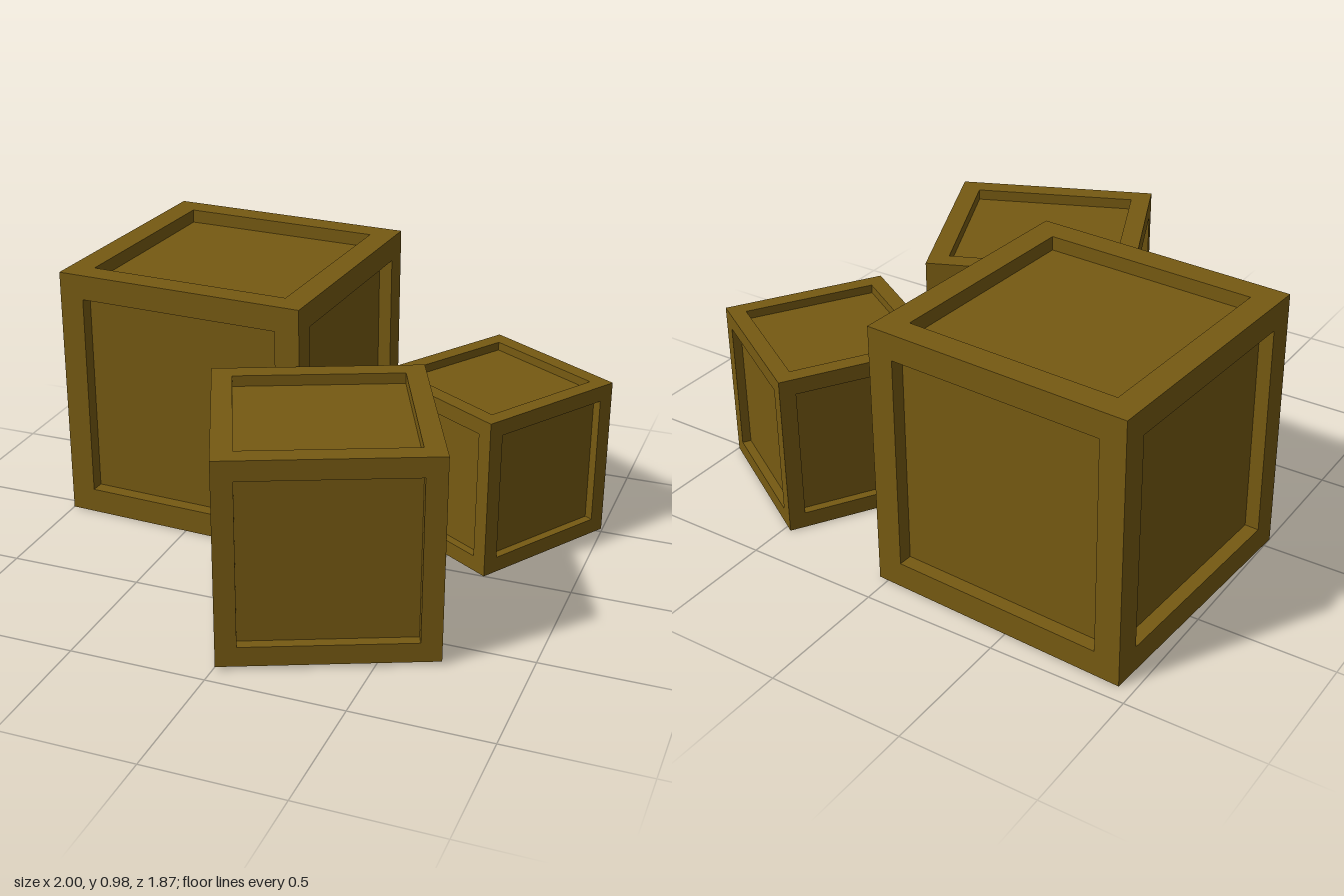
import * as THREE from 'three';

const wood = new THREE.MeshStandardMaterial({ color: 0x765a12, flatShading: true });

const FRAME = 0.097; // beam width, as a share of the crate size
const RECESS = 0.053; // how far the panels sit below the frame

function addBox(parent, name, size, position) {
  const mesh = new THREE.Mesh(new THREE.BoxGeometry(...size), wood);
  mesh.name = name;
  mesh.position.set(...position);
  parent.add(mesh);
}

// Unit crate: a recessed core inside a frame of twelve beams
function createCrate(name) {
  const crate = new THREE.Group();
  crate.name = name;

  const core = 1 - 2 * RECESS;
  addBox(crate, 'recessedPanels', [core, core, core], [0, 0, 0]);

  const edge = 0.5 - FRAME / 2;
  const span = 1 - 2 * FRAME;
  for (const a of [-1, 1]) {
    for (const b of [-1, 1]) {
      addBox(crate, 'cornerPost', [FRAME, 1, FRAME], [a * edge, 0, b * edge]);
      addBox(crate, 'crossRail', [span, FRAME, FRAME], [0, a * edge, b * edge]);
      addBox(crate, 'sideRail', [FRAME, FRAME, span], [a * edge, b * edge, 0]);
    }
  }
  return crate;
}

export function createModel() {
  const model = new THREE.Group();
  model.name = 'crateStack';

  // Crates: size, centre x and z, height of the underside, turn about y
  const crates = [
    { name: 'largeCrate', size: 0.985, x: -0.482, z: -0.42, base: 0.003, turn: -0.054 },
    { name: 'mediumCrate', size: 0.763, x: 0.204, z: 0.43, base: 0.015, turn: 0.413 },
    { name: 'smallCrate', size: 0.615, x: 0.573, z: -0.42, base: 0.005, turn: -0.551 },
  ];
  for (const { name, size, x, z, base, turn } of crates) {
    const crate = createCrate(name);
    crate.scale.setScalar(size);
    crate.position.set(x, base + size / 2, z);
    crate.rotation.y = turn;
    model.add(crate);
  }
  return model;
}
